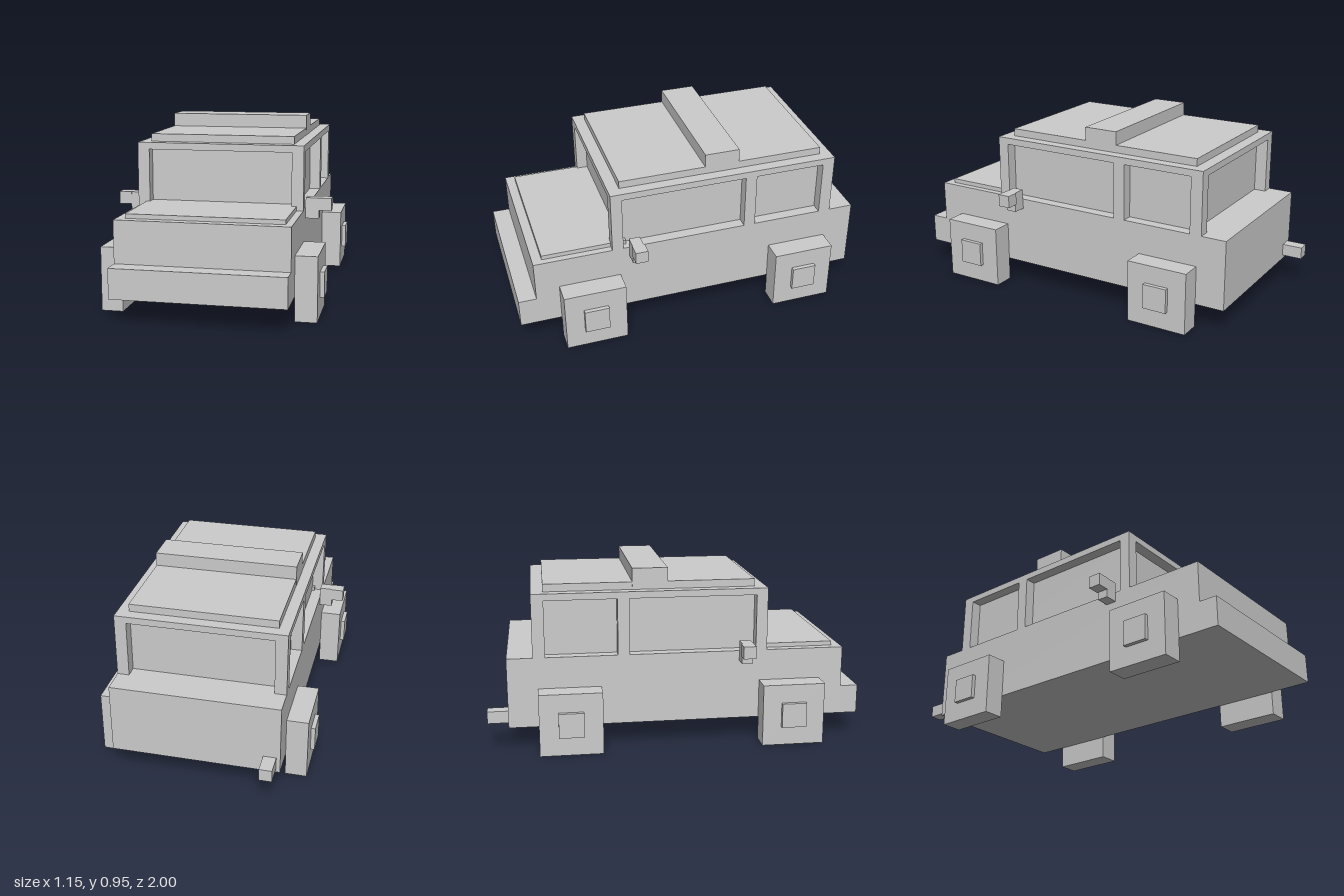
import * as THREE from 'three';

const material = new THREE.MeshStandardMaterial({ color: 0xcccccc, flatShading: true });

// Box given by its [min, max] extents on each axis
function box(parent, name, [x0, x1], [y0, y1], [z0, z1]) {
  const mesh = new THREE.Mesh(new THREE.BoxGeometry(x1 - x0, y1 - y0, z1 - z0), material);
  mesh.position.set((x0 + x1) / 2, (y0 + y1) / 2, (z0 + z1) / 2);
  mesh.name = name;
  parent.add(mesh);
  return mesh;
}

// The same box on the left (+x) and right (-x) sides
function pair(parent, name, [x0, x1], y, z) {
  box(parent, name + 'Left', [x0, x1], y, z);
  box(parent, name + 'Right', [-x1, -x0], y, z);
}

function group(parent, name) {
  const g = new THREE.Group();
  g.name = name;
  parent.add(g);
  return g;
}

export function createModel() {
  const car = new THREE.Group();
  car.name = 'car';

  // Lower body
  const body = group(car, 'body');
  box(body, 'lowerBody', [-0.44, 0.44], [0.125, 0.5], [-0.89, 0.905]);
  box(body, 'frontBumper', [-0.44, 0.44], [0.125, 0.28], [0.905, 1]);
  box(body, 'hood', [-0.395, 0.405], [0.5, 0.523], [0.405, 0.855]);
  box(body, 'exhaustPipe', [-0.42, -0.353], [0.147, 0.212], [-1, -0.89]);

  // Cabin: recessed window block framed by pillars, then the roof
  const cabin = group(car, 'cabin');
  box(cabin, 'windows', [-0.38, 0.38], [0.5, 0.8], [-0.69, 0.427]);
  pair(cabin, 'frontPillar', [0.378, 0.44], [0.5, 0.8], [0.427, 0.487]);
  pair(cabin, 'middlePillar', [0.378, 0.44], [0.5, 0.8], [-0.31, -0.248]);
  pair(cabin, 'rearPillar', [0.378, 0.44], [0.5, 0.8], [-0.755, -0.69]);
  box(cabin, 'roof', [-0.44, 0.44], [0.8, 0.836], [-0.755, 0.487]);
  box(cabin, 'roofPanel', [-0.383, 0.381], [0.836, 0.876], [-0.692, 0.425]);
  box(cabin, 'roofBar', [-0.384, 0.382], [0.836, 0.948], [-0.227, -0.04]);

  // Square wheels with hubs
  for (const [name, z] of [['front', 0.614], ['rear', -0.566]]) {
    const wheels = group(car, name + 'Wheels');
    pair(wheels, 'wheel', [0.44, 0.553], [0, 0.333], [z - 0.166, z + 0.166]);
    pair(wheels, 'hub', [0.553, 0.575], [0.102, 0.234], [z - 0.066, z + 0.066]);
  }

  // Side mirrors: bracket and overhanging head
  const mirrors = group(car, 'sideMirrors');
  pair(mirrors, 'mirrorBracket', [0.44, 0.51], [0.446, 0.555], [0.337, 0.396]);
  pair(mirrors, 'mirrorHead', [0.508, 0.575], [0.489, 0.555], [0.331, 0.398]);

  return car;
}
